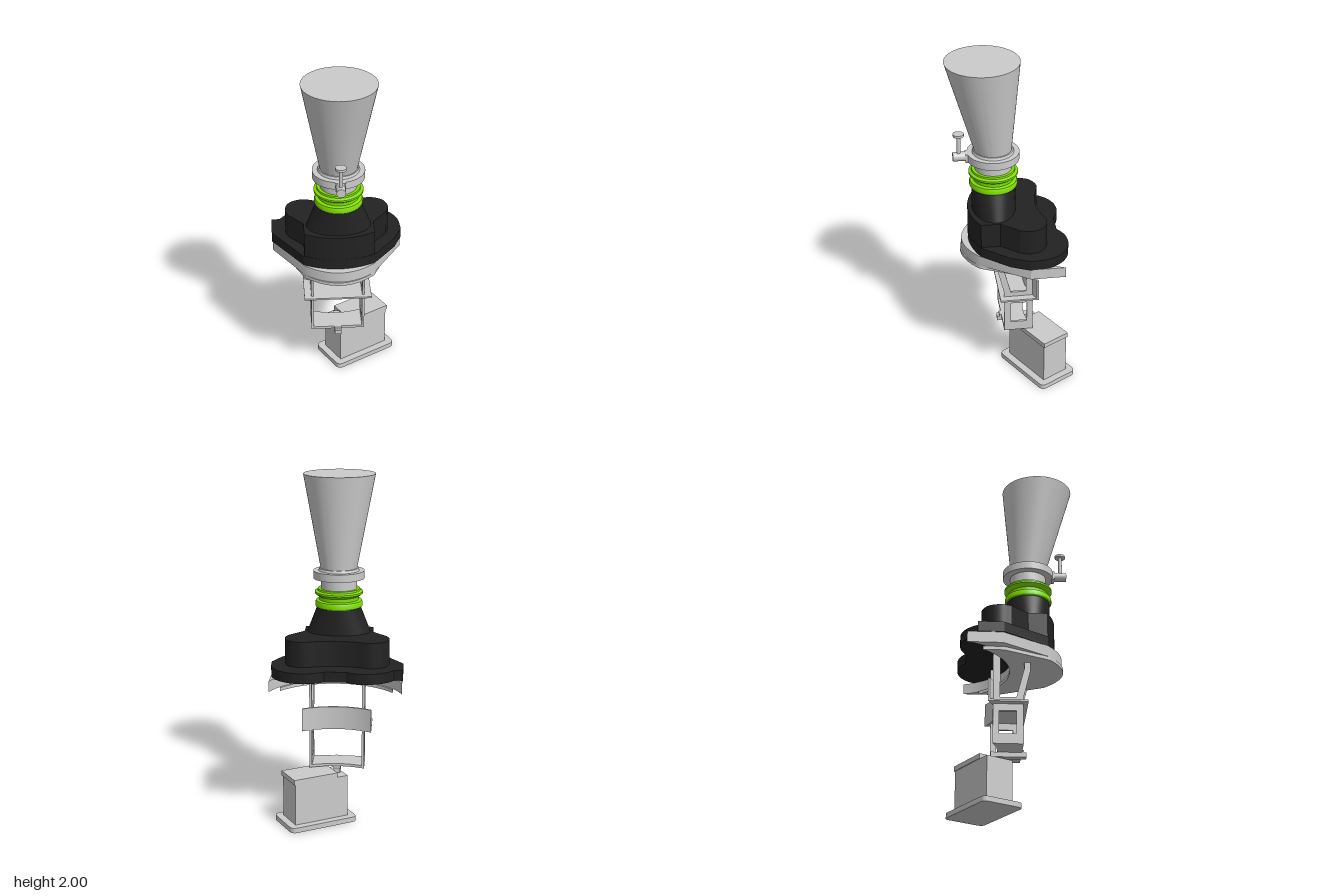
import * as THREE from 'three';
import { toCreasedNormals } from 'three/addons/utils/BufferGeometryUtils.js';

const grey = new THREE.MeshStandardMaterial({ color: 0xcccccc });
const black = new THREE.MeshStandardMaterial({ color: 0x222222 });
const green = new THREE.MeshStandardMaterial({ color: 0x80e000 });
const AXIS_Z = 0.095; // z of the neck axis

function add(parent, name, geo, mat = grey, x = 0, y = 0, z = 0) {
  const m = new THREE.Mesh(geo, mat);
  m.name = name;
  m.position.set(x, y, z);
  parent.add(m);
  return m;
}

// Box given by its lower and upper corner
function block(parent, name, a, b, mat = grey) {
  const g = new THREE.BoxGeometry(b[0] - a[0], b[1] - a[1], b[2] - a[2]);
  return add(parent, name, g, mat, (a[0] + b[0]) / 2, (a[1] + b[1]) / 2, (a[2] + b[2]) / 2);
}

// Plan outline [x, z] raised from y0 to y1
function slab(parent, name, outline, y0, y1, mat = grey) {
  const shape = new THREE.Shape(outline.map(([x, z]) => new THREE.Vector2(x, -z)));
  const g = new THREE.ExtrudeGeometry(shape, { depth: y1 - y0, bevelEnabled: false });
  g.rotateX(-Math.PI / 2);
  return add(parent, name, toCreasedNormals(g, 0.4), mat, 0, y0, 0);
}

function arc(cx, cz, r, a0, a1, n = 24) {
  return Array.from({ length: n + 1 }, (_, i) => {
    const a = a0 + (a1 - a0) * i / n;
    return [cx + r * Math.cos(a), cz + r * Math.sin(a)];
  });
}

// Bowed front edge running from +x to -x
function bow(half, zMid, zEnd, n = 16) {
  return Array.from({ length: n + 1 }, (_, i) => {
    const t = 1 - 2 * i / n;
    return [half * t, zMid - (zMid - zEnd) * t * t];
  });
}

// Hollow rear edge running from -x to +x, ending at z = zEnd
function hollow(half, zEnd, r = 0.395) {
  const a = Math.asin(half / r);
  return arc(0, zEnd - r * Math.cos(a), r, Math.PI / 2 + a, Math.PI / 2 - a);
}

function lathe(parent, name, profile, mat) {
  const g = new THREE.LatheGeometry(profile.map(([r, y]) => new THREE.Vector2(r, y)), 64);
  return add(parent, name, toCreasedNormals(g, 0.5), mat, 0, 0, AXIS_Z);
}

export function createModel() {
  const model = new THREE.Group();
  model.name = 'instrument';

  // Funnel leaning forward as it widens
  const funnel = new THREE.CylinderGeometry(0.208, 0.105, 0.54, 64);
  funnel.applyMatrix4(new THREE.Matrix4().set(1, 0, 0, 0, 0, 1, 0, 0, 0, 0.055 / 0.54, 1, 0, 0, 0, 0, 1));
  funnel.computeVertexNormals();
  add(model, 'funnel', toCreasedNormals(funnel, 0.6), grey, 0, 1.73, 0.1235);

  // Neck and clamp ring
  lathe(model, 'neck', [[0, 1.33], [0.105, 1.33], [0.105, 1.405], [0.148, 1.405], [0.148, 1.45],
    [0.118, 1.45], [0.113, 1.465], [0.105, 1.465], [0, 1.465]], grey);

  // Clamp screw
  const screw = new THREE.Group();
  screw.name = 'clampScrew';
  model.add(screw);
  const barrel = new THREE.CylinderGeometry(0.026, 0.026, 0.08, 24).rotateX(Math.PI / 2);
  add(screw, 'screwBarrel', barrel, grey, 0, 1.427, 0.282);
  add(screw, 'screwShaft', new THREE.CylinderGeometry(0.018, 0.018, 0.08, 24).rotateX(Math.PI / 2), grey, 0, 1.427, 0.22);
  block(screw, 'screwBlock', [-0.03, 1.4, 0.235], [0.03, 1.45, 0.252]);
  add(screw, 'screwPost', new THREE.CylinderGeometry(0.011, 0.011, 0.13, 20), grey, 0, 1.495, 0.288);
  add(screw, 'screwHead', new THREE.CylinderGeometry(0.031, 0.031, 0.014, 24), grey, 0, 1.563, 0.288);

  // Ribbed coloured collar
  lathe(model, 'collar', [[0, 1.238], [0.133, 1.238], [0.137, 1.245], [0.137, 1.265], [0.133, 1.275],
    [0.115, 1.28], [0.115, 1.3], [0.128, 1.307], [0.14, 1.317], [0.14, 1.328], [0.124, 1.335],
    [0.122, 1.345], [0, 1.345]], green);

  // Dark shoulder: round at the top, wide at the bottom
  const shoulder = new THREE.CylinderGeometry(0.125, 0.125, 0.16, 64, 4);
  const p = shoulder.attributes.position;
  for (let i = 0; i < p.count; i++) p.setX(i, p.getX(i) * (1 + 0.5 * (0.08 - p.getY(i)) / 0.16));
  add(model, 'shoulder', toCreasedNormals(shoulder, 0.6), black, 0, 1.16, AXIS_Z);

  // Dark upper housing
  const half = [[0.285, -0.02], [0.3, -0.08], [0.275, -0.15], [0.2, -0.185], [0.1, -0.16]];
  const rear = [...half.map(([x, z]) => [-x, z]), [0, -0.147], ...half.slice().reverse()];
  const rearCurve = new THREE.CatmullRomCurve3(rear.map(([x, z]) => new THREE.Vector3(x, 0, z)));
  slab(model, 'upperHousing', [[-0.2, 0.08], ...rearCurve.getPoints(60).map(v => [v.x, v.z]),
    [0.2, 0.08], ...bow(0.2, 0.245, 0.19)], 0.9, 1.088, black);

  // Dark lobed flange
  slab(model, 'flange', [[-0.38, -0.065], [-0.38, -0.21], ...arc(-0.17, -0.118, 0.184, -2.62, -0.93),
    ...arc(0.185, -0.12, 0.19, -2.27, 0), [0.378, -0.065], [0.33, 0.04],
    ...bow(0.207, 0.245, 0.19)], 0.88, 0.94, black);

  // Crescent plates below the flange
  slab(model, 'crescentPlate', [...hollow(0.375, -0.268), [0.375, -0.07],
    ...bow(0.2, 0.285, 0.2), [-0.375, -0.07]], 0.817, 0.88);
  slab(model, 'lowerCrescent', [...hollow(0.322, -0.18), [0.322, -0.06],
    ...bow(0.2, 0.293, 0.2), [-0.322, -0.06]], 0.797, 0.817);

  // Side frames: windowed panel, rear post and slanted strut
  const poly = pts => pts.map(([z, y]) => new THREE.Vector2(z, y));
  const frame = new THREE.Shape(poly([[0.055, 0.315], [0.055, 0.585], [0.095, 0.75], [0.095, 0.81],
    [0.06, 0.81], [0.06, 0.76], [0.015, 0.585], [-0.075, 0.585], [-0.075, 0.88], [-0.115, 0.88], [-0.115, 0.315]]));
  frame.holes.push(new THREE.Path(poly([[0.015, 0.37], [-0.08, 0.37], [-0.08, 0.505], [0.015, 0.505]])));
  for (const s of [-1, 1]) {
    const g = new THREE.ExtrudeGeometry(frame, { depth: 0.014, bevelEnabled: false });
    g.translate(0, 0, -0.007).rotateY(-Math.PI / 2);
    add(model, s > 0 ? 'leftFrame' : 'rightFrame', g, grey, s * 0.152);
  }

  // Shelf, hollow rear panel and bottom plate
  slab(model, 'shelf', [...hollow(0.2, -0.145), [0.2, 0.08], [-0.2, 0.08]], 0.545, 0.556);
  slab(model, 'rearPanel', [...hollow(0.2, -0.145),
    ...hollow(0.2, -0.133).reverse()], 0.55, 0.68);
  slab(model, 'bottomPlate', [...hollow(0.159, -0.115), [0.159, 0.055], [-0.159, 0.055]], 0.312, 0.328);
  block(model, 'connector', [-0.02, 0.285, -0.12], [0.02, 0.313, 0.08]);
  block(model, 'connectorLip', [-0.02, 0.31, 0.05], [0.02, 0.328, 0.066]);

  // Turned base block on a rounded foot plate
  const base = new THREE.Group();
  base.name = 'base';
  base.position.set(0.123, 0, -0.152);
  base.rotation.y = Math.PI / 6;
  model.add(base);
  const corners = [[1, 1], [-1, 1], [-1, -1], [1, -1]];
  const foot = corners.flatMap(([sx, sz], i) =>
    arc(sx * 0.18, sz * 0.098, 0.03, i * Math.PI / 2, (i + 1) * Math.PI / 2, 6));
  slab(base, 'footPlate', foot, 0, 0.03);
  block(base, 'baseBlock', [-0.168, 0.03, -0.085], [0.168, 0.278, 0.085]);
  block(base, 'baseLid', [-0.1, 0.278, -0.09], [0.175, 0.307, 0.09]);

  return model;
}
